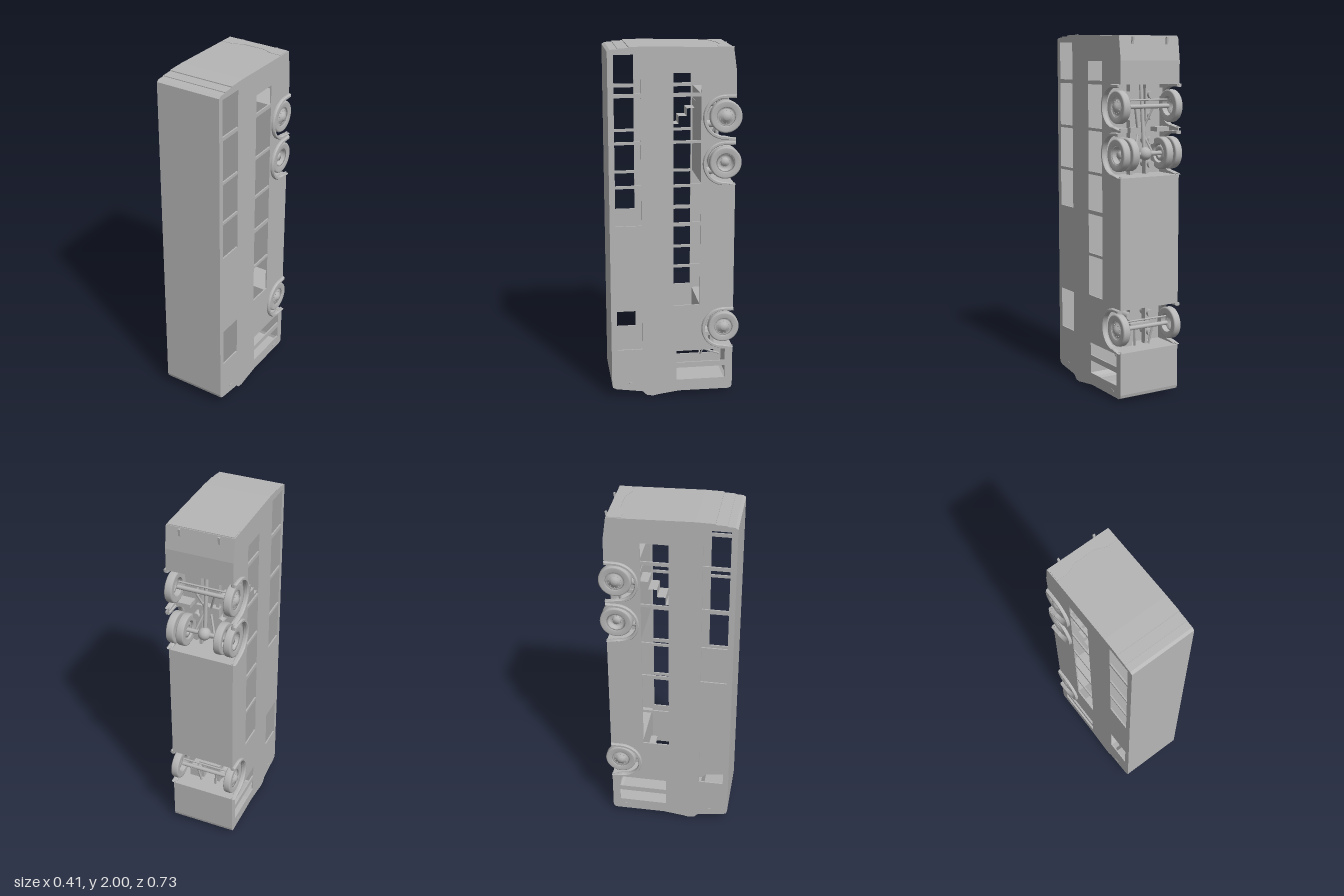
import * as THREE from 'three';

const paint = new THREE.MeshStandardMaterial({ color: 0xb6b6b6, side: THREE.DoubleSide });
paint.name = 'plainGrey';

const HALF = 0.187;                 // half body width
const AXLES = [0.4, 1.36, 1.615];   // axle positions along the body
const WHEEL_Z = -0.277, ARCH_Z = -0.27;

// nose, from roof round to underside, as [z, y]
const NOSE = [[0.365, 0.08], [0.36, 0.062], [0.34, 0.052], [0.19, 0.03], [0.165, 0.005], [0.13, 0],
  [0.1, 0.006], [-0.02, 0.022], [-0.31, 0.02], [-0.326, 0.028], [-0.33, 0.045]];
// tail, from underside round to roof
const TAIL = [[-0.33, 1.86], [-0.312, 1.988], [0.15, 2], [0.25, 1.998], [0.25, 1.993], [0.31, 1.991],
  [0.31, 1.987], [0.35, 1.985], [0.365, 1.975]];

export function createModel() {
  const root = new THREE.Group();
  root.name = 'doubleDeckBus';

  function add(name, geometry, x = 0, y = 0, z = 0, parent = root) {
    const mesh = new THREE.Mesh(geometry, paint);
    mesh.name = name;
    mesh.position.set(x, y, z);
    parent.add(mesh);
    return mesh;
  }
  const box = (name, w, h, d, x, y, z) => add(name, new THREE.BoxGeometry(w, h, d), x, y, z);

  function rod(name, radius, from, to, sides = 12) {
    const a = new THREE.Vector3(...from), b = new THREE.Vector3(...to);
    const mesh = add(name, new THREE.CylinderGeometry(radius, radius, a.distanceTo(b), sides));
    mesh.position.copy(a).add(b).multiplyScalar(0.5);
    mesh.quaternion.setFromUnitVectors(new THREE.Vector3(0, 1, 0), b.sub(a).normalize());
    return mesh;
  }

  // sheet that sweeps a [z, y] path across the width
  function sheet(path, x0, x1) {
    const pos = [];
    for (let i = 0; i + 1 < path.length; i++) {
      const [za, ya] = path[i], [zb, yb] = path[i + 1];
      pos.push(x0, ya, za, x0, yb, zb, x1, yb, zb, x0, ya, za, x1, yb, zb, x1, ya, za);
    }
    const g = new THREE.BufferGeometry();
    g.setAttribute('position', new THREE.Float32BufferAttribute(pos, 3));
    g.computeVertexNormals();
    return g;
  }

  // shapes are drawn as (-z, y) and extruded along x
  const sideways = (shape, options) =>
    new THREE.ExtrudeGeometry(shape, { bevelEnabled: false, curveSegments: 24, ...options }).rotateY(Math.PI / 2);

  // ---- Skin: roof, nose, tail, underside and recessed wheel bays
  const bay = (y0, y1) => [[-0.33, y0], [-0.148, y0], [-0.148, y1], [-0.33, y1]];
  add('bodySkin', sheet([...NOSE, ...bay(0.28, 0.52), ...bay(1.24, 1.735), ...TAIL, NOSE[0]], -HALF, HALF));

  // ---- Side walls with arches and window openings
  const wall = new THREE.Shape();
  NOSE.forEach(([z, y], i) => (i ? wall.lineTo(-z, y) : wall.moveTo(-z, y)));
  for (const c of AXLES) {
    const r = 0.112;
    wall.lineTo(0.33, c - r);
    wall.lineTo(-ARCH_Z, c - r);
    wall.absarc(-ARCH_Z, c, r, -Math.PI / 2, Math.PI / 2, true);
    wall.lineTo(0.33, c + r);
  }
  TAIL.forEach(([z, y]) => wall.lineTo(-z, y));
  wall.closePath();

  const openings = [
    [0.333, 0.19, [[0.291, 0.524], [1.021, 1.233], [1.249, 1.476], [1.492, 1.73], [1.751, 1.958]]],
    [0.012, -0.138, [[0.545, 0.772], [0.788, 1.01], [1.032, 1.233], [1.249, 1.476], [1.492, 1.73], [1.751, 1.857]]],
    [-0.005, -0.286, [[0.09, 0.164], [0.196, 0.268]]],
  ];
  for (const [zTop, zLow, spans] of openings) {
    for (const [y0, y1] of spans) {
      const hole = new THREE.Path();
      hole.moveTo(-zTop, y0);
      hole.lineTo(-zTop, y1);
      hole.lineTo(-zLow, y1);
      hole.lineTo(-zLow, y0);
      hole.closePath();
      wall.holes.push(hole);
    }
  }
  const wallGeo = sideways(wall, { depth: 0.008 });

  // ---- Wheel arch flare
  const R = 0.118, r = 0.107, half = Math.PI / 2;
  const arch = new THREE.Shape();
  arch.moveTo(0.326, -R);
  arch.lineTo(-ARCH_Z, -R);
  arch.absarc(-ARCH_Z, 0, R, -half, half, true);
  arch.lineTo(0.326, R);
  arch.lineTo(0.326, r);
  arch.lineTo(-ARCH_Z, r);
  arch.absarc(-ARCH_Z, 0, r, half, -half, false);
  arch.closePath();
  const archGeo = sideways(arch, { depth: 0.014, bevelEnabled: true, bevelThickness: 0.008, bevelSize: 0.004, bevelSegments: 1 });

  // ---- Wheels
  const lathe = (pts) => new THREE.LatheGeometry(pts.map(p => new THREE.Vector2(...p)), 40).rotateZ(-half);
  const tyreGeo = lathe([[0.052, -0.02], [0.08, -0.022], [0.086, -0.02], [0.089, -0.014], [0.089, 0.014],
    [0.086, 0.02], [0.08, 0.022], [0.056, 0.02], [0.052, 0.017]]);
  const domedRim = lathe([[0.052, -0.02], [0.05, -0.005], [0.052, 0.017], [0.048, 0.008], [0.042, 0.012],
    [0.03, 0.016], [0.028, 0.022], [0.018, 0.024], [0.016, 0.03], [0, 0.031]]);
  const dishedRim = lathe([[0.052, -0.02], [0.05, -0.005], [0.052, 0.017], [0.046, 0.012], [0.043, -0.012],
    [0.03, -0.014], [0.022, -0.012], [0.02, 0.004], [0, 0.005]]);
  const boltGeo = new THREE.CylinderGeometry(0.0028, 0.0028, 0.008, 6).rotateZ(half);

  function wheel(x, y, dished) {
    const g = new THREE.Group();
    g.name = 'wheel';
    g.position.set(x, y, WHEEL_Z);
    add('tyre', tyreGeo, 0, 0, 0, g);
    add('rim', dished ? dishedRim : domedRim, 0, 0, 0, g);
    for (let i = 0; i < 10; i++) {
      const a = i * Math.PI / 5, q = dished ? 0.027 : 0.035;
      add('wheelBolt', boltGeo, dished ? -0.01 : 0.016, q * Math.cos(a), q * Math.sin(a), g);
    }
    if (x < 0) g.scale.x = -1;
    root.add(g);
  }

  for (const s of [-1, 1]) {
    add('sideWall', wallGeo, s * (HALF - 0.008)).scale.x = s;
    AXLES.forEach((y, i) => {
      add('wheelArch', archGeo, s * 0.181, y).scale.x = s;
      wheel(s * 0.165, y, i === 1);
      if (i === 1) wheel(s * 0.107, y, true);
    });

    // Chassis rails, suspension bellows and arms in the wheel bays
    for (const [y, len] of [[0.4, 0.24], [1.487, 0.49]]) box('chassisRail', 0.016, len, 0.035, s * 0.05, y, -0.2);
    for (const y of [0.345, 0.455, 1.295, 1.425, 1.56, 1.675]) {
      rod('airSpring', 0.02, [s * 0.07, y, -0.15], [s * 0.07, y, -0.235], 16);
    }
    rod('radiusArm', 0.006, [s * 0.045, 0.29, -0.25], [s * 0.06, 0.4, -0.27]);
    rod('radiusArm', 0.006, [s * 0.02, 1.46, -0.23], [s * 0.055, 1.36, -0.27]);
    rod('radiusArm', 0.006, [s * 0.02, 1.5, -0.23], [s * 0.06, 1.615, -0.27]);
    box('mudguard', 0.08, 0.025, 0.07, s * 0.135, 1.487, -0.215);

    // Small fittings
    const hook = box('rearTowHook', 0.012, 0.04, 0.01, s * 0.108, 1.965, -0.322);
    hook.rotation.x = -0.14;
    box('sideLamp', 0.004, 0.012, 0.03, s * HALF, 0.052, -0.24);
    box('sideMarker', 0.004, 0.006, 0.03, s * HALF, 0.085, 0.25);
  }

  // ---- Axles and drive line
  AXLES.forEach((y) => rod('axle', 0.012, [-0.15, y, WHEEL_Z], [0.15, y, WHEEL_Z]));
  rod('trackRod', 0.005, [-0.14, 0.44, -0.28], [0.14, 0.44, -0.28]);
  rod('trackRod', 0.005, [-0.14, 1.65, -0.28], [0.14, 1.65, -0.28]);
  add('differential', new THREE.SphereGeometry(0.036, 20, 14), 0, 1.36, WHEEL_Z);
  rod('driveShaft', 0.011, [0, 1.36, -0.27], [0, 1.735, -0.235]);
  box('crossMember', 0.13, 0.03, 0.035, 0, 1.487, -0.215);
  box('crossMember', 0.13, 0.02, 0.03, 0, 0.4, -0.22);

  // ---- Upper deck floor and staircase
  box('upperDeckFloor', 0.36, 1.9, 0.012, 0, 1.01, 0.09);
  const steps = [];
  for (let i = 0; i < 7; i++) {
    const z = 0.085 - i * 0.046, y = 1.402 + i * 0.044;
    steps.push([z, y], [z, y + 0.044]);
  }
  add('staircase', sheet(steps, -0.17, -0.07));

  // ---- Driver's controls
  rod('steeringColumn', 0.005, [0.09, 0.2, -0.27], [0.09, 0.235, -0.17]);
  const steer = add('steeringWheel', new THREE.TorusGeometry(0.03, 0.004, 8, 24), 0.09, 0.237, -0.165);
  steer.rotation.x = -0.35;
  box('driverSeat', 0.07, 0.05, 0.02, 0.09, 0.31, -0.22);
  box('driverSeatBack', 0.07, 0.018, 0.11, 0.09, 0.34, -0.165);

  // ---- Engine hatch on the tail
  const hatch = new THREE.Shape([[-0.182, 0.308], [-0.182, 0.232], [-0.12, 0.232], [-0.06, 0.257],
    [0.06, 0.257], [0.12, 0.232], [0.182, 0.232], [0.182, 0.308]].map(p => new THREE.Vector2(...p)));
  const hatchGeo = new THREE.ExtrudeGeometry(hatch, { depth: 0.004, bevelEnabled: false }).rotateX(-half);
  add('engineHatch', hatchGeo, 0, 1.988, 0);

  return root;
}
